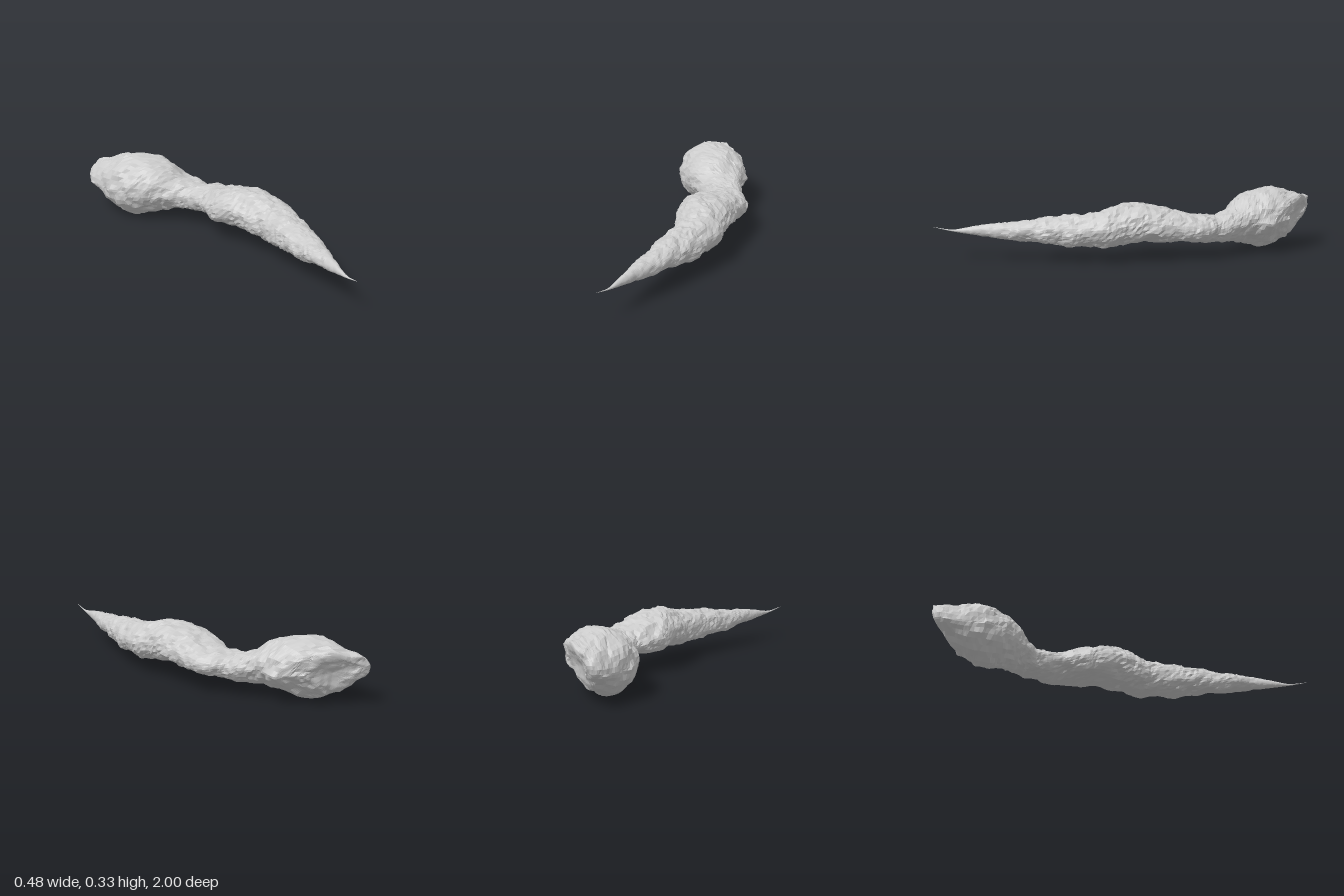
import * as THREE from 'three';

// Cross-sections from back to tip: [z, left x, right x, bottom y, top y, slant of the section in z]
const SECTIONS = [
  [-0.875, -0.05, -0.05, 0.17, 0.17, 0.8],   // bottom of the shallow hollow in the blunt end
  [-0.88, -0.10, 0.02, 0.13, 0.21, 0.8],
  [-0.89, -0.14, 0.07, 0.095, 0.245, 0.8],
  [-0.88, -0.165, 0.10, 0.065, 0.267, 0.8],  // rim
  [-0.84, -0.208, 0.14, 0.045, 0.28, 0.7],
  [-0.78, -0.228, 0.155, 0.01, 0.305, 0.45],
  [-0.70, -0.237, 0.155, 0.004, 0.322, 0.25],
  [-0.61, -0.195, 0.142, 0.03, 0.302, 0.1],
  [-0.55, -0.145, 0.148, 0.05, 0.275, 0],
  [-0.48, -0.065, 0.16, 0.068, 0.228, 0],
  [-0.40, -0.015, 0.18, 0.075, 0.207, 0],    // neck
  [-0.30, -0.02, 0.23, 0.08, 0.21, 0],
  [-0.20, -0.06, 0.23, 0.09, 0.235, 0],
  [-0.12, -0.09, 0.217, 0.09, 0.262, 0],
  [0.00, -0.07, 0.20, 0.09, 0.28, 0],
  [0.10, -0.065, 0.195, 0.08, 0.265, 0],
  [0.20, -0.053, 0.18, 0.07, 0.25, 0],
  [0.30, -0.07, 0.143, 0.068, 0.236, 0],
  [0.40, -0.09, 0.10, 0.08, 0.222, 0],
  [0.50, -0.107, 0.05, 0.09, 0.205, 0],
  [0.60, -0.135, 0.00, 0.10, 0.195, 0],
  [0.70, -0.145, -0.06, 0.11, 0.18, 0],
  [0.80, -0.16, -0.12, 0.125, 0.165, 0],
  [0.90, -0.182, -0.168, 0.137, 0.149, 0],
  [1.00, -0.21, -0.21, 0.16, 0.16, 0],       // tip
];
const AROUND = 40, ALONG = 144;

// Repeatable lattice value in -1..1, and smooth noise between lattice points
function hash(x, y, z) {
  const s = Math.sin(x * 127.1 + y * 311.7 + z * 74.7) * 43758.5453;
  return (s - Math.floor(s)) * 2 - 1;
}

function noise(x, y, z) {
  const c = [x, y, z].map(Math.floor);
  const f = [x - c[0], y - c[1], z - c[2]].map(t => t * t * (3 - 2 * t));
  let sum = 0;
  for (let i = 0; i < 8; i++) {
    const o = [i & 1, (i >> 1) & 1, i >> 2];
    const w = o.reduce((p, b, k) => p * (b ? f[k] : 1 - f[k]), 1);
    sum += w * hash(c[0] + o[0], c[1] + o[1], c[2] + o[2]);
  }
  return sum;
}

const { lerp, smoothstep } = THREE.MathUtils;
const bend = (v, power) => Math.sign(v) * Math.abs(v) ** power;

function buildRock() {
  const plan = new THREE.CatmullRomCurve3(SECTIONS.map(s => new THREE.Vector3(s[1], s[2], s[0])));
  const side = new THREE.CatmullRomCurve3(SECTIONS.map(s => new THREE.Vector3(s[3], s[4], s[5])));
  const positions = [], index = [];

  for (let i = 0; i <= ALONG; i++) {
    const p = plan.getPoint(i / ALONG), q = side.getPoint(i / ALONG);
    const rx = Math.max(0, (p.y - p.x) / 2), ry = Math.max(0, (q.y - q.x) / 2);
    const cx = (p.x + p.y) / 2, cy = (q.x + q.y) / 2;
    const rough = Math.min(1, Math.min(rx, ry) / 0.07);
    const head = 1 - smoothstep(p.z, -0.6, -0.4);
    const end = 1 - smoothstep(p.z, -0.9, -0.75);
    // the head narrows to a keel, its blunt end has a square crest, the body is fuller below
    const upper = lerp(lerp(1.05, 1, head), 0.82, end);
    const lower = lerp(0.9, 1.4, head);
    for (let j = 0; j < AROUND; j++) {
      const a = (j / AROUND) * Math.PI * 2;
      const dx = Math.cos(a), dy = Math.sin(a);
      const power = dy < 0 ? lower : upper;
      let x = cx + rx * bend(dx, power), y = cy + ry * bend(dy, power);
      // the blunt end overhangs at the top and on one side
      let z = p.z + q.z * (x - cx - 0.45 * (y - cy));
      x -= 0.25 * head * Math.max(0, cy - y);
      // lumps, chips and fine grain
      const n = rough * (0.009 * noise(x * 11, y * 11, z * 11)
        + 0.009 * noise(x * 25 + 5, y * 25, z * 25)
        + 0.006 * noise(x * 60, y * 60 + 9, z * 60));
      x += dx * n;
      y += dy * n;
      z += rough * 0.008 * noise(x * 35, y * 35, z * 35 + 7);
      positions.push(x, y, z);
      if (i < ALONG) {
        const k = (j + 1) % AROUND, r = i * AROUND, s = r + AROUND;
        index.push(r + j, r + k, s + j, r + k, s + k, s + j);
      }
    }
  }

  const indexed = new THREE.BufferGeometry();
  indexed.setAttribute('position', new THREE.Float32BufferAttribute(positions, 3));
  indexed.setIndex(index);
  const geometry = indexed.toNonIndexed();
  geometry.computeVertexNormals();

  // Centre it and stand it on the ground
  geometry.center();
  geometry.translate(0, -geometry.boundingBox.min.y, 0);
  return geometry;
}

export function createModel() {
  const group = new THREE.Group();
  const material = new THREE.MeshStandardMaterial({ color: 0xcccccc, flatShading: true });
  const rock = new THREE.Mesh(buildRock(), material);
  rock.name = 'taperedRock';
  group.add(rock);
  return group;
}
